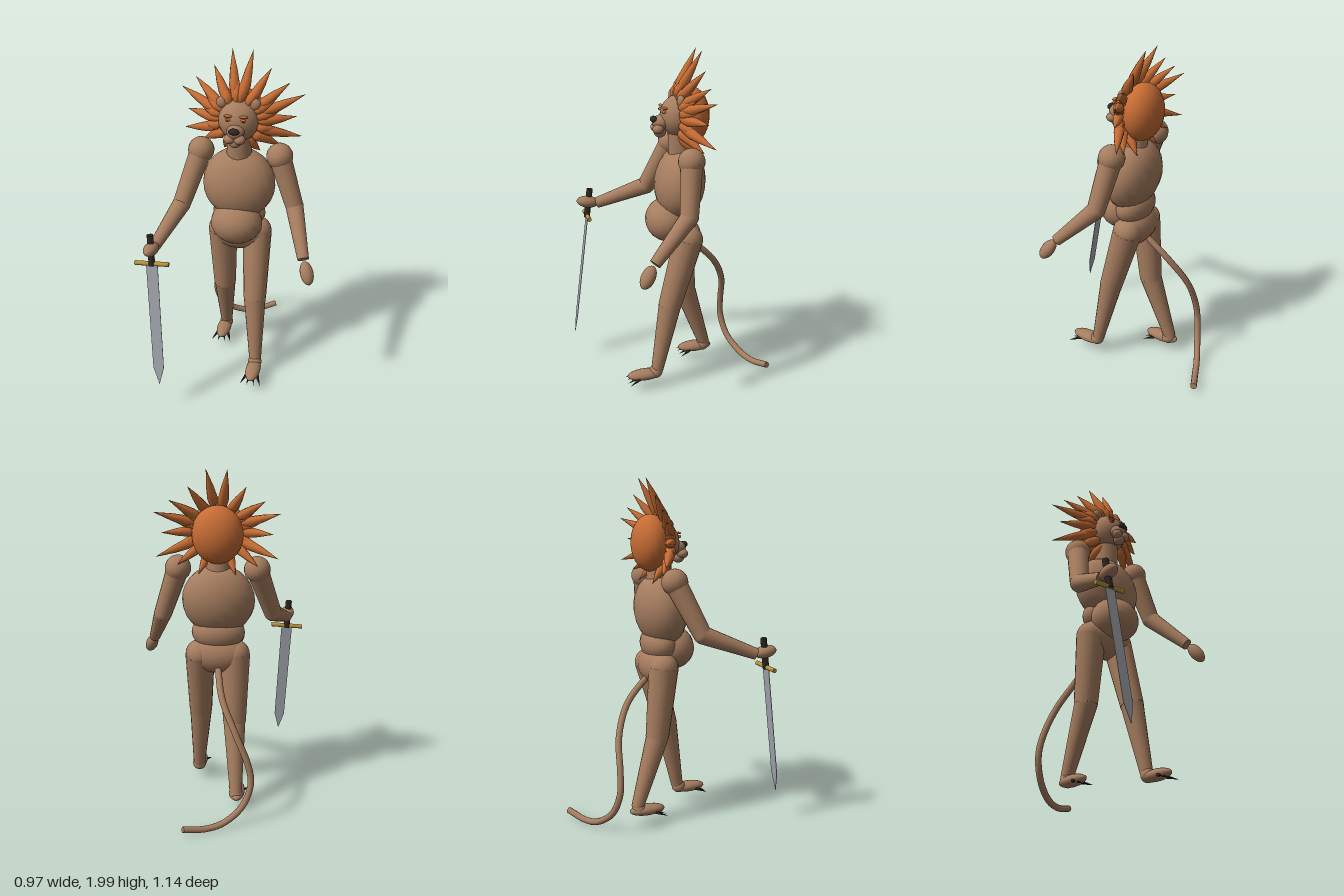
import * as THREE from 'three';

const mat = (name, color) => {
  const m = new THREE.MeshStandardMaterial({ color });
  m.name = name;
  return m;
};
const V = (p) => new THREE.Vector3(...p);
const UP = new THREE.Vector3(0, 1, 0);

export function createModel() {
  const fur = mat('brown fur', 0xa67d5f);
  const hair = mat('orange mane', 0xc66c34);
  const dark = mat('dark claw', 0x2e2823);
  const gold = mat('brass', 0xb8923a);
  const steel = mat('steel', 0xa4a8b0);
  steel.side = THREE.DoubleSide;

  const model = new THREE.Group();
  model.name = 'lionWarrior';

  const add = (name, geometry, material, parent = model) => {
    const mesh = new THREE.Mesh(geometry, material);
    mesh.name = name;
    parent.add(mesh);
    return mesh;
  };
  const group = (name) => {
    const g = new THREE.Group();
    g.name = name;
    model.add(g);
    return g;
  };
  // ellipsoid with centre c and radii r
  const ball = (name, c, r, material = fur, parent = model) => {
    const mesh = add(name, new THREE.SphereGeometry(1, 20, 14), material, parent);
    mesh.position.set(...c);
    mesh.scale.set(...r);
    return mesh;
  };
  // place a geometry that is centred on y between two points
  const between = (mesh, a, b) => {
    mesh.position.copy(V(a)).lerp(V(b), 0.5);
    mesh.quaternion.setFromUnitVectors(UP, V(b).sub(V(a)).normalize());
    return mesh;
  };
  // tapered limb from a (radius ra) to b (radius rb)
  const limb = (name, a, b, ra, rb, material = fur, parent = model, sides = 16) =>
    between(add(name, new THREE.CylinderGeometry(rb, ra, V(a).distanceTo(V(b)), sides), material, parent), a, b);

  // Trunk
  ball('chest', [0, 1.24, -0.03], [0.21, 0.21, 0.142]).rotation.x = -0.15;
  ball('belly', [0, 1.02, 0.045], [0.15, 0.127, 0.127]).rotation.x = -0.15;
  ball('waist', [0, 1.05, -0.04], [0.155, 0.105, 0.1]);
  ball('hips', [0, 0.92, -0.045], [0.185, 0.115, 0.105]);
  limb('neck', [0, 1.38, -0.04], [0, 1.54, -0.03], 0.075, 0.068);

  // Head and face
  const head = group('head');
  ball('skull', [0, 1.63, -0.025], [0.115, 0.118, 0.107], fur, head);
  ball('snout', [0, 1.6, 0.065], [0.05, 0.042, 0.065], fur, head);
  ball('nose', [0, 1.618, 0.12], [0.031, 0.018, 0.02], dark, head);
  ball('chin', [0, 1.542, 0.085], [0.034, 0.03, 0.035], fur, head);
  for (const s of [-1, 1]) {
    ball('whiskerPad', [s * 0.028, 1.566, 0.1], [0.032, 0.027, 0.032], fur, head);
    ball('ear', [s * 0.092, 1.73, -0.012], [0.032, 0.034, 0.022], fur, head);
    ball('brow', [s * 0.043, 1.684, 0.066], [0.024, 0.007, 0.014], hair, head);
    ball('eye', [s * 0.043, 1.664, 0.071], [0.015, 0.009, 0.01], hair, head);
    ball('pupil', [s * 0.043, 1.664, 0.079], [0.005, 0.005, 0.004], dark, head);
  }

  // Mane: a rounded cap with a fan of pointed locks
  const mane = group('mane');
  ball('maneCap', [0, 1.63, -0.09], [0.145, 0.163, 0.107], hair, mane);
  const lockTips = [
    [0.058, 1.995, -0.14], [0.16, 1.9, -0.13], [0.265, 1.825, -0.13], [0.35, 1.76, -0.14],
    [0.31, 1.64, -0.11], [0.34, 1.51, -0.14], [0.225, 1.46, -0.11], [0.105, 1.41, -0.12],
    [0.02, 1.87, -0.07], [0.11, 1.83, -0.07], [0.2, 1.75, -0.07], [0.23, 1.69, -0.07],
    [0.22, 1.57, -0.07], [0.17, 1.49, -0.07],
  ];
  for (const s of [-1, 1]) {
    for (const [x, y, z] of lockTips) {
      const angle = Math.atan2(y - 1.63, x);
      const base = [s * 0.095 * Math.cos(angle), 1.63 + 0.1 * Math.sin(angle), 0];
      const tip = [s * x, y, z];
      const length = V(base).distanceTo(V(tip));
      const profile = [[0, -0.5], [0.022, -0.35], [0.03, -0.15], [0.021, 0.12], [0, 0.5]]
        .map(([r, t]) => new THREE.Vector2(r, t * length));
      between(add('maneLock', new THREE.LatheGeometry(profile, 8), hair, mane), base, tip);
    }
  }

  // Arms: the right one reaches forward, the left one hangs
  const arm = (side, shoulder, elbow, wrist, hand, handTip) => {
    const g = group(side + 'Arm');
    ball('shoulder', shoulder, [0.075, 0.075, 0.075], fur, g);
    limb('upperArm', shoulder, elbow, 0.064, 0.052, fur, g);
    ball('elbow', elbow, [0.052, 0.052, 0.052], fur, g);
    limb('forearm', elbow, wrist, 0.052, 0.033, fur, g);
    const h = ball('hand', hand, [0.04, 0.068, 0.036], fur, g);
    h.quaternion.setFromUnitVectors(UP, V(handTip).sub(V(hand)).normalize());
  };
  arm('right', [-0.22, 1.425, -0.035], [-0.31, 1.135, 0.095], [-0.39, 1.02, 0.39],
    [-0.395, 1.03, 0.445], [-0.4, 1.04, 0.51]);
  arm('left', [0.23, 1.425, -0.035], [0.328, 1.14, 0.005], [0.415, 0.925, 0.22],
    [0.443, 0.865, 0.265], [0.465, 0.81, 0.3]);

  // Legs in mid stride, the left one in front
  const leg = (side, hip, knee, ankle, foot) => {
    const g = group(side + 'Leg');
    ball('hipJoint', hip, [0.085, 0.085, 0.085], fur, g);
    limb('thigh', hip, knee, 0.086, 0.068, fur, g);
    ball('knee', knee, [0.066, 0.066, 0.066], fur, g);
    limb('shin', knee, ankle, 0.066, 0.036, fur, g);
    ball('ankle', [ankle[0], 0.1, ankle[2] + 0.01], [0.042, 0.04, 0.042], fur, g);
    ball('foot', foot, [0.045, 0.033, 0.108], fur, g);
    // claws fan out from the toes
    for (const k of [-1, -0.35, 0.35, 1]) {
      const reach = 0.112 - 0.006 * Math.abs(k);
      limb('claw', [foot[0] + k * 0.032, 0.078, foot[2] + 0.04],
        [foot[0] + k * 0.062, 0.055, foot[2] + reach], 0.011, 0, dark, g, 6);
    }
  };
  leg('left', [0.105, 0.92, -0.055], [0.115, 0.515, 0.06], [0.137, 0.11, 0.145], [0.138, 0.09, 0.22]);
  leg('right', [-0.1, 0.92, -0.05], [-0.1, 0.515, -0.09], [-0.12, 0.11, -0.225], [-0.125, 0.09, -0.165]);

  // Tail sweeping down, round and along the ground
  const tailPath = new THREE.CatmullRomCurve3([
    [0, 0.88, -0.09], [-0.04, 0.72, -0.25], [-0.12, 0.55, -0.335], [-0.195, 0.37, -0.357],
    [-0.215, 0.25, -0.365], [-0.17, 0.12, -0.395], [-0.07, 0.04, -0.45], [0.03, 0.021, -0.495],
    [0.155, 0.045, -0.555],
  ].map(V));
  add('tail', new THREE.TubeGeometry(tailPath, 40, 0.019, 10), fur);
  const tailEnd = add('tailEnd', new THREE.CircleGeometry(0.019, 10), fur);
  tailEnd.position.copy(tailPath.getPoint(1));
  tailEnd.quaternion.setFromUnitVectors(new THREE.Vector3(0, 0, 1), tailPath.getTangent(1));

  // Sword, modelled upright with the guard at its origin
  const sword = group('sword');
  limb('grip', [0, -0.01, 0], [0, 0.17, 0], 0.019, 0.019, dark, sword, 8);
  limb('guard', [-0.097, 0, 0], [0.097, 0, 0], 0.013, 0.013, gold, sword, 10);
  const outline = [[-0.033, 0], [-0.031, -0.66], [0, -0.77], [0.031, -0.66], [0.033, 0]]
    .map(([x, y]) => new THREE.Vector2(x, y));
  const blade = add('blade', new THREE.ExtrudeGeometry(new THREE.Shape(outline),
    { depth: 0.003, bevelEnabled: false }), steel, sword);
  blade.position.z = -0.0015;
  sword.position.set(-0.393, 0.942, 0.453);
  sword.quaternion.setFromUnitVectors(UP, V([-0.04, 0.76, -0.11]).normalize());

  return model;
}
